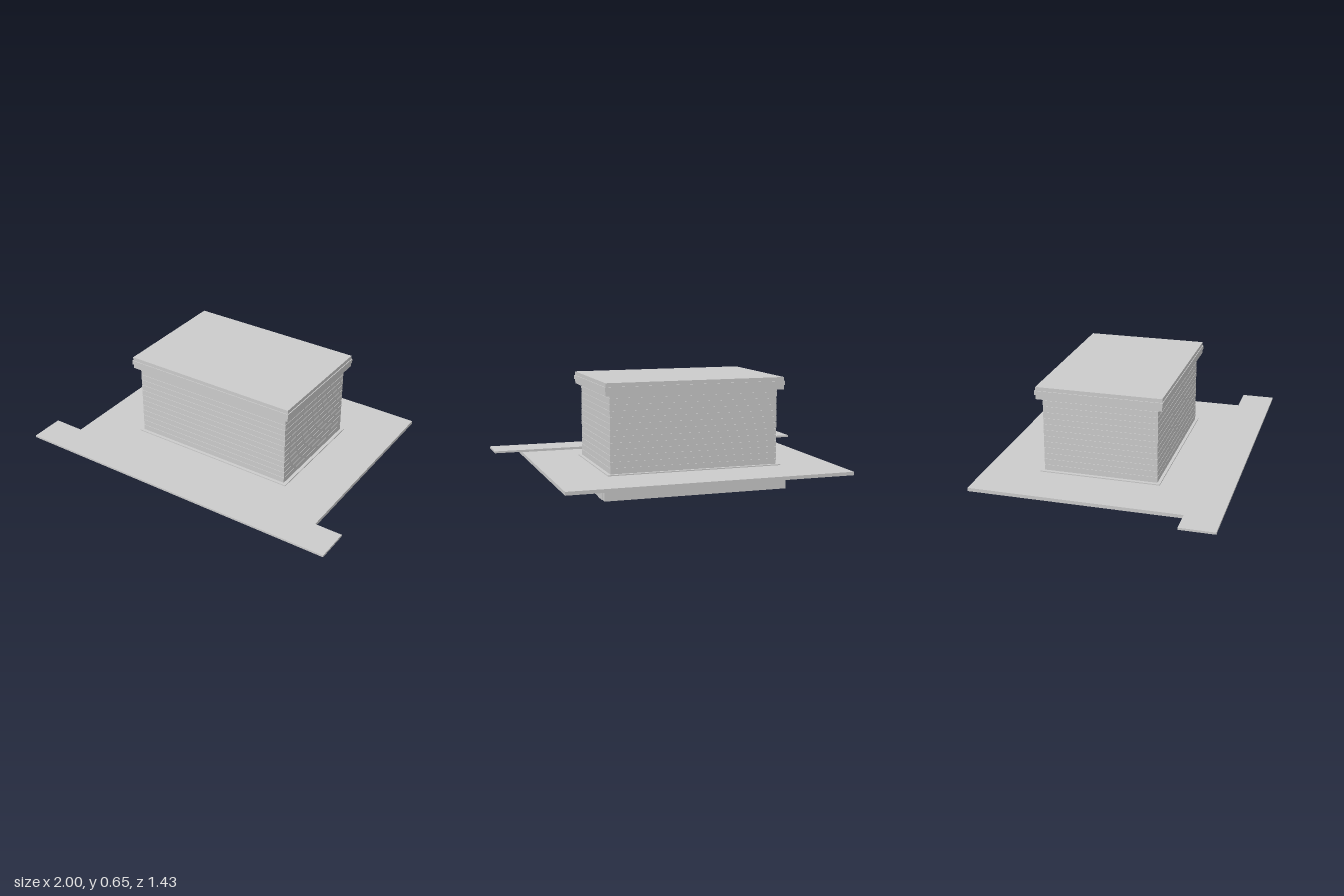
import * as THREE from 'three';

export function createModel() {
  const group = new THREE.Group();
  const material = new THREE.MeshStandardMaterial({ color: 0xcccccc, flatShading: true });

  // Box given by its x, y and z limits
  function block(name, x0, x1, y0, y1, z0, z1, parent = group) {
    const mesh = new THREE.Mesh(new THREE.BoxGeometry(x1 - x0, y1 - y0, z1 - z0), material);
    mesh.position.set((x0 + x1) / 2, (y0 + y1) / 2, (z0 + z1) / 2);
    mesh.name = name;
    parent.add(mesh);
  }

  // Stepped foundation
  block('foundationFooting', -0.545, 0.545, 0, 0.06, -0.424, 0.326);
  block('foundationWall', -0.525, 0.525, 0.06, 0.105, -0.408, 0.31);
  block('foundationCore', -0.5, 0.5, 0.105, 0.115, -0.38, 0.284);

  // Piers projecting from both sides of the foundation
  for (const side of [-1, 1]) {
    const x0 = side < 0 ? -0.55 : 0.48;
    block('frontPier', x0, x0 + 0.07, 0, 0.115, 0.2, 0.284);
    block('rearPier', x0, x0 + 0.07, 0, 0.115, -0.38, -0.3);
  }

  // Ground slab and front walkway
  block('groundSlab', -0.83, 0.83, 0.115, 0.135, -0.715, 0.615);
  block('walkway', -1, 1, 0.137, 0.149, 0.515, 0.715);
  block('walkwayBed', -0.83, 0.83, 0.135, 0.137, 0.515, 0.615);

  // Sill below the walls
  block('sill', -0.52, 0.52, 0.135, 0.141, -0.4, 0.302);

  // Wall core and horizontal boards separated by fine grooves
  block('wallCore', -0.497, 0.497, 0.141, 0.58, -0.377, 0.281);
  const boards = new THREE.Group();
  boards.name = 'wallBoards';
  group.add(boards);
  const pitch = 0.0355;
  for (let y = 0.141; y < 0.575; y += pitch) {
    block('board', -0.5, 0.5, y, Math.min(y + pitch - 0.003, 0.58), -0.38, 0.284, boards);
  }

  // Layered cornice and flat roof
  block('corniceLower', -0.53, 0.53, 0.58, 0.605, -0.41, 0.313);
  block('corniceMiddle', -0.535, 0.535, 0.605, 0.63, -0.415, 0.318);
  block('roofTop', -0.53, 0.53, 0.63, 0.652, -0.41, 0.314);

  return group;
}
